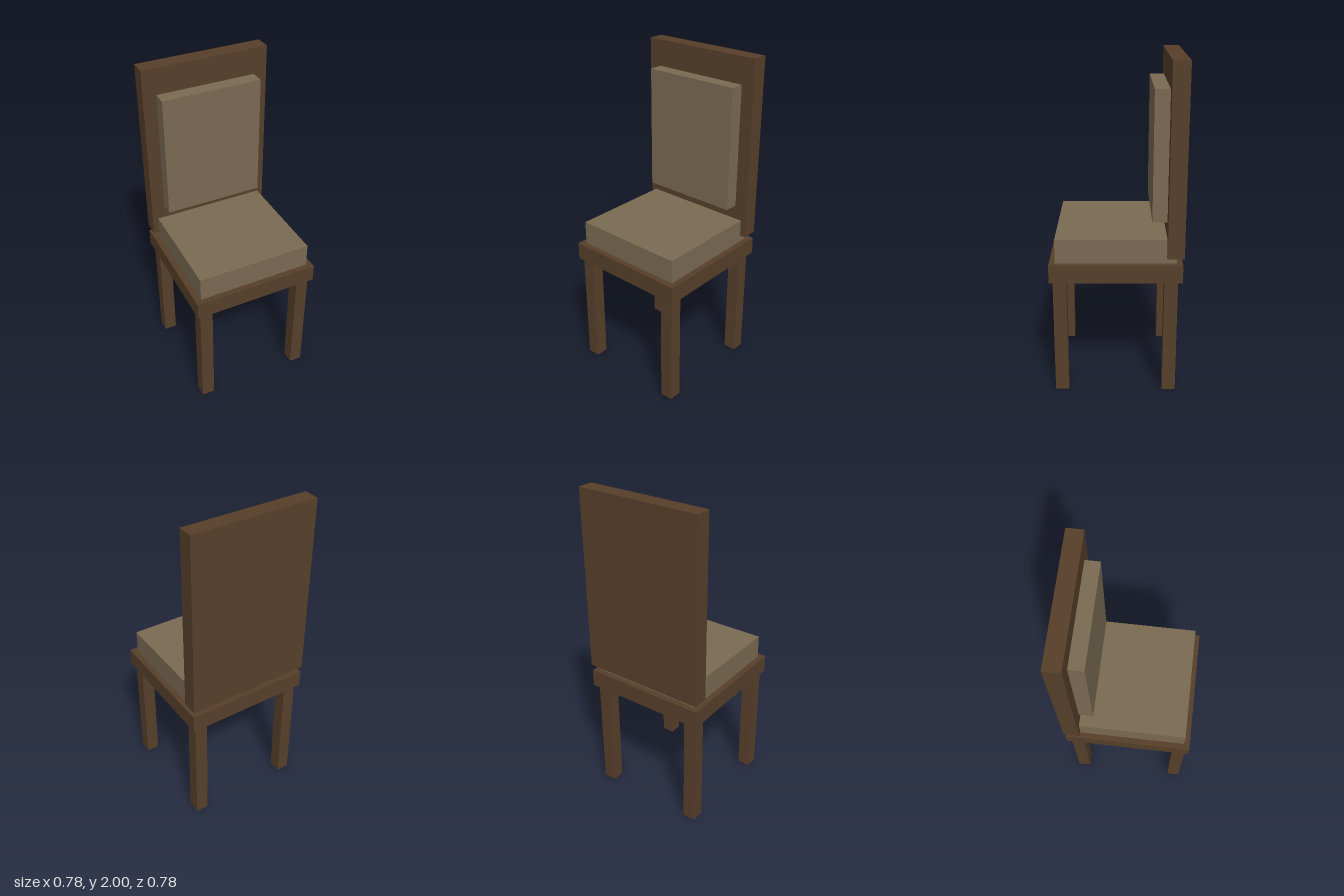
import * as THREE from 'three';

const wood = new THREE.MeshStandardMaterial({ name: 'brown wood', color: 0x573f2a });
const fabric = new THREE.MeshStandardMaterial({ name: 'taupe fabric', color: 0x7a6a53 });

// Box given by its extents along each axis
function block(name, material, [x0, x1], [y0, y1], [z0, z1]) {
  const mesh = new THREE.Mesh(new THREE.BoxGeometry(x1 - x0, y1 - y0, z1 - z0), material);
  mesh.position.set((x0 + x1) / 2, (y0 + y1) / 2, (z0 + z1) / 2);
  mesh.name = name;
  return mesh;
}

export function createModel() {
  const chair = new THREE.Group();
  chair.name = 'chair';

  // Seat frame and cushion
  chair.add(block('seat', wood, [-0.391, 0.389], [0.73, 0.838], [-0.387, 0.392]));
  chair.add(block('seatCushion', fabric, [-0.355, 0.353], [0.838, 0.985], [-0.351, 0.356]));

  // Backrest panel floating just above the seat, with its pad
  chair.add(block('backrest', wood, [-0.391, 0.389], [0.88, 2], [-0.393, -0.295]));
  chair.add(block('backPad', fabric, [-0.31, 0.307], [1.075, 1.838], [-0.295, -0.208]));

  // Four square legs
  const spans = { right: [-0.37, -0.29], left: [0.284, 0.364] };
  const depths = { Front: [0.292, 0.372], Back: [-0.362, -0.282] };
  for (const [side, x] of Object.entries(spans)) {
    for (const [end, z] of Object.entries(depths)) {
      chair.add(block(`${side}${end}Leg`, wood, x, [0, 0.73], z));
    }
  }
  return chair;
}
